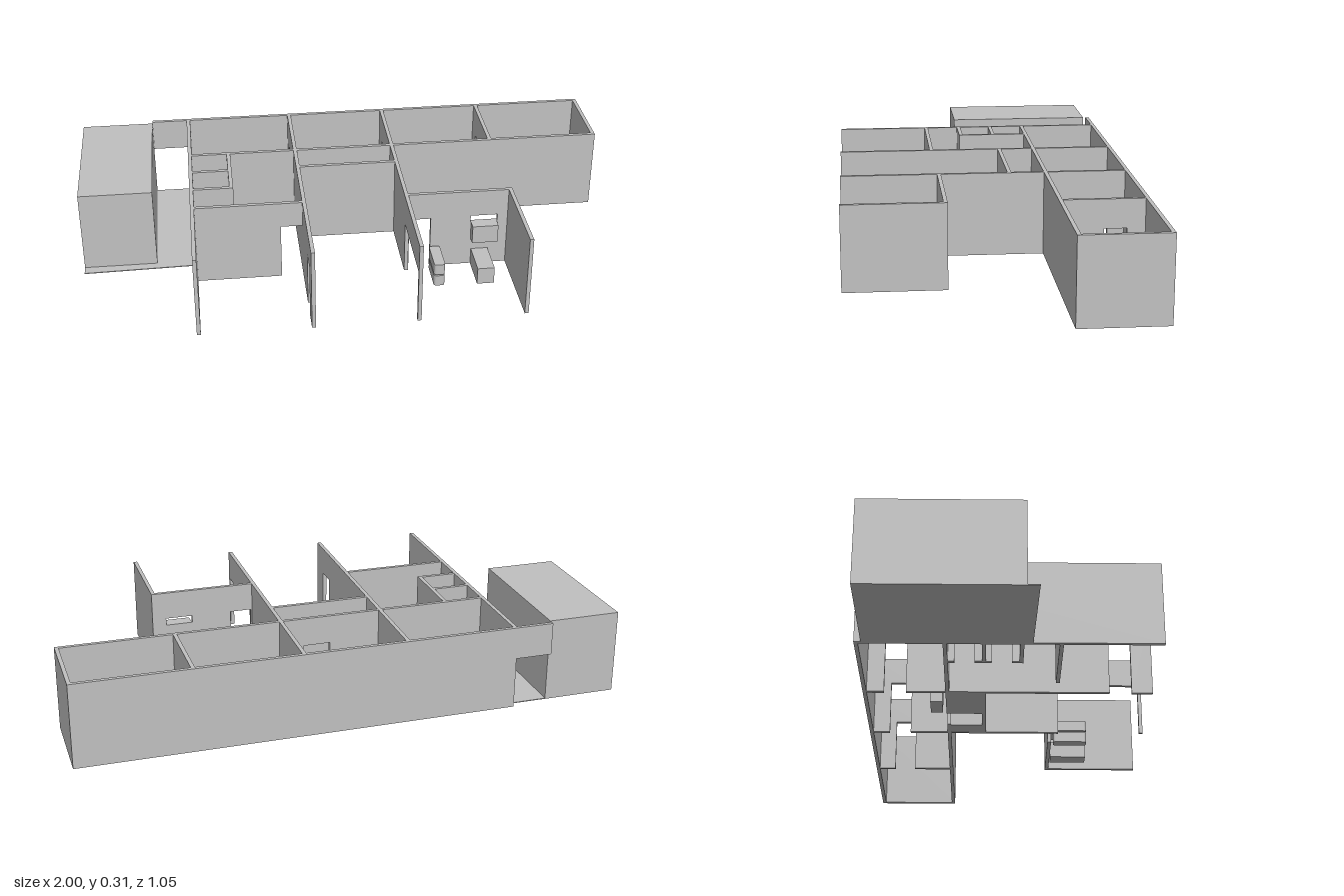
import * as THREE from 'three';

const H = 0.31, T = 0.014;

export function createModel() {
  const root = new THREE.Group();
  const grey = new THREE.MeshStandardMaterial({ color: 0xc0c0c0 });
  grey.name = 'plaster grey';

  const add = (name, geo) => {
    const m = new THREE.Mesh(geo, grey);
    m.name = name;
    root.add(m);
    return m;
  };
  const box = (name, x0, x1, y0, y1, z0, z1) =>
    add(name, new THREE.BoxGeometry(x1 - x0, y1 - y0, z1 - z0))
      .position.set((x0 + x1) / 2, (y0 + y1) / 2, (z0 + z1) / 2);

  // Wall face from a to b; openings [from, to, bottom, top] become doorways (bottom 0) or windows
  const wallGeo = (a, b, openings) => {
    const s = new THREE.Shape();
    s.moveTo(a, 0);
    for (const [p, q, lo, hi] of openings) {
      if (lo === 0) {
        s.lineTo(p, 0); s.lineTo(p, hi); s.lineTo(q, hi); s.lineTo(q, 0);
      } else {
        const h = new THREE.Path();
        h.moveTo(p, lo); h.lineTo(p, hi); h.lineTo(q, hi); h.lineTo(q, lo);
        h.closePath();
        s.holes.push(h);
      }
    }
    s.lineTo(b, 0); s.lineTo(b, H); s.lineTo(a, H);
    s.closePath();
    return new THREE.ExtrudeGeometry(s, { depth: T, bevelEnabled: false });
  };
  // Wall running along x, centred on z
  const wallX = (name, z, x0, x1, openings = []) =>
    add(name, wallGeo(x0, x1, openings)).position.z = z - T / 2;
  // Wall running along z, centred on x
  const wallZ = (name, x, z0, z1, openings = []) => {
    const mirrored = openings.map(([p, q, lo, hi]) => [-q, -p, lo, hi]).reverse();
    const m = add(name, wallGeo(-z1, -z0, mirrored));
    m.rotation.y = Math.PI / 2;
    m.position.x = x - T / 2;
  };

  // Long walls
  wallX('backWall', -0.52, -0.59, 1);
  box('passageLintel', -0.73, -0.59, 0.19, H, -0.527, -0.513);
  wallX('middleWall', -0.22, -0.587, 1, [[0.01, 0.11, 0, 0.205]]);

  // Cross walls with connecting doorways
  const backDoor = [-0.45, -0.37, 0, 0.205];
  wallZ('sideWall', -0.587, -0.527, 0.527);
  wallZ('crossWallA', -0.183, -0.527, 0.527, [backDoor, [0.37, 0.45, 0, 0.205]]);
  wallZ('crossWallB', 0.193, -0.527, 0.527, [backDoor, [0.2, 0.513, 0, 0.2]]);
  wallZ('crossWallC', 0.58, -0.527, -0.213, [backDoor]);
  wallZ('endWall', 0.993, -0.527, -0.213);

  // Small rooms on the right
  wallX('closetDivider', -0.087, -0.587, -0.433);
  wallX('closetFront', 0.043, -0.587, -0.433);
  wallZ('closetSide', -0.44, -0.22, 0.05, [[-0.19, -0.12, 0, 0.205], [-0.06, 0.01, 0, 0.205]]);
  wallX('frontRoomWall', 0.177, -0.587, -0.183, [[-0.27, -0.19, 0, 0.213]]);

  // Inner bathroom
  wallX('bathWall', -0.087, -0.183, 0.193);
  box('bathTub', -0.18, 0.01, 0, 0.07, -0.215, -0.09);
  box('toiletTank', 0.117, 0.185, 0, 0.1, -0.213, -0.15);
  box('toiletSeat', 0.117, 0.185, 0, 0.065, -0.15, -0.11);
  box('toiletFront', 0.117, 0.185, 0, 0.05, -0.11, -0.092);
  box('lowCabinet', -0.1, 0, 0, 0.1, -0.285, -0.24);

  // Front bathroom with doorway and window slot
  wallX('frontBathWall', 0.17, 0.193, 0.58, [[0.205, 0.285, 0, 0.205], [0.435, 0.535, 0.18, 0.207]]);
  wallZ('frontBathSide', 0.58, 0.163, 0.527);
  box('washBasin', 0.437, 0.533, 0.11, 0.18, 0.177, 0.213);
  box('lowSeat', 0.44, 0.503, 0, 0.065, 0.18, 0.32);

  // Two stacked rounded slabs
  const w = 0.02, z0 = 0.185, z1 = 0.315, r = 0.012;
  for (const y of [0, 0.047]) {
    const s = new THREE.Shape();
    s.moveTo(-w, -z1 + r);
    s.quadraticCurveTo(-w, -z1, -w + r, -z1);
    s.lineTo(w - r, -z1);
    s.quadraticCurveTo(w, -z1, w, -z1 + r);
    s.lineTo(w, -z0 - r);
    s.quadraticCurveTo(w, -z0, w - r, -z0);
    s.lineTo(-w + r, -z0);
    s.quadraticCurveTo(-w, -z0, -w, -z0 - r);
    s.closePath();
    const m = add('stackedSlab', new THREE.ExtrudeGeometry(s, { depth: 0.042, bevelEnabled: false, curveSegments: 5 }));
    m.rotation.x = -Math.PI / 2;
    m.position.set(0.3, y, 0);
  }

  // Solid annex block and its thin, slightly skewed floor plate
  box('annexBlock', -1, -0.73, 0, H, -0.503, 0.05);
  const floor = new THREE.Shape();
  floor.moveTo(-1, -0.09);
  floor.lineTo(-0.594, -0.08);
  floor.lineTo(-0.594, 0.503);
  floor.lineTo(-1, 0.503);
  floor.closePath();
  const plate = add('annexFloor', new THREE.ExtrudeGeometry(floor, { depth: 0.003, bevelEnabled: false }));
  plate.rotation.x = -Math.PI / 2;

  return root;
}
